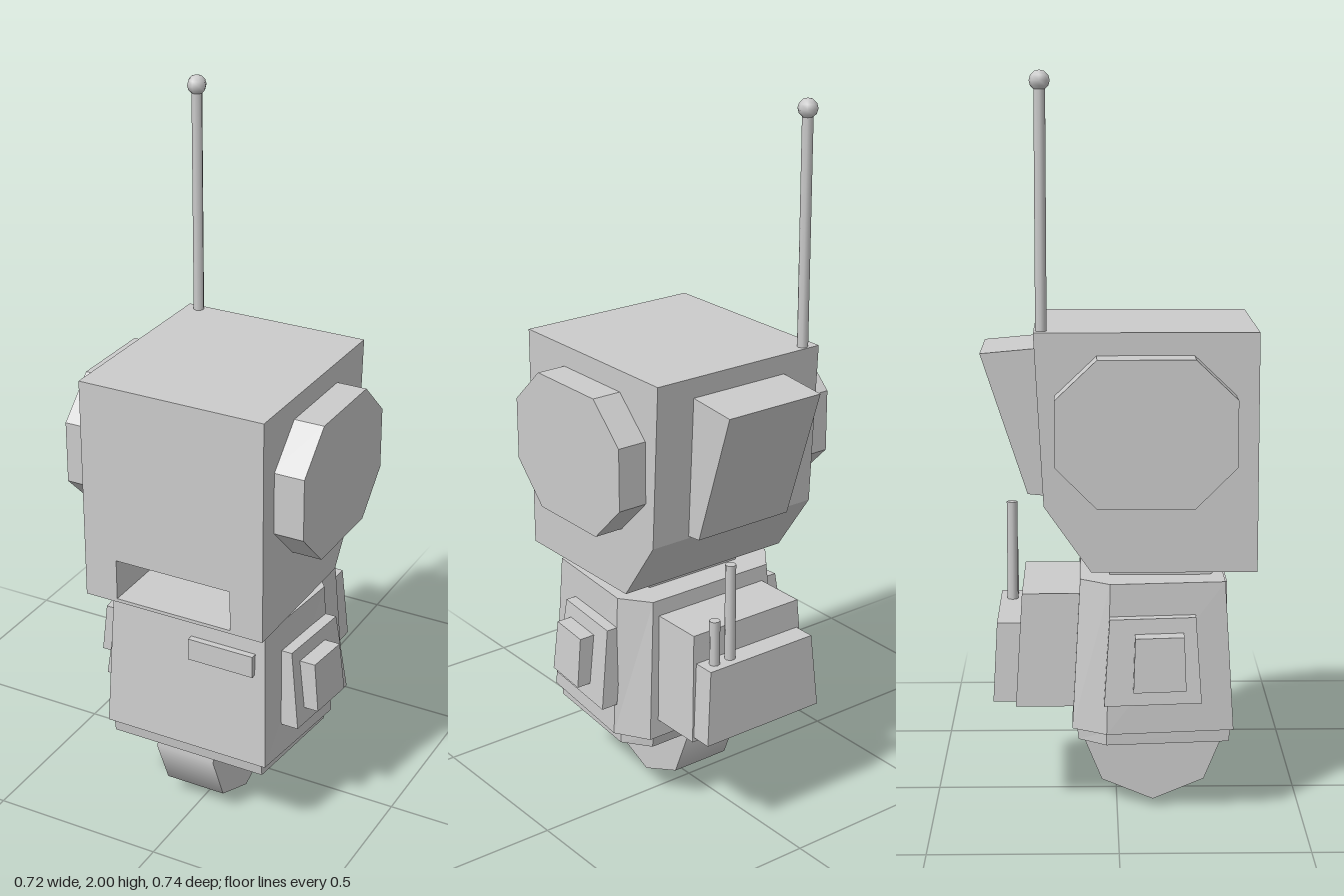
import * as THREE from 'three';

const material = new THREE.MeshStandardMaterial({ color: 0xcccccc });

function add(group, name, geometry) {
  const mesh = new THREE.Mesh(geometry, material);
  mesh.name = name;
  group.add(mesh);
  return mesh;
}

// Flat-faced solid between two convex rings; ring b runs counter-clockwise seen from outside
function solid(a, b) {
  const pos = [];
  const tri = (p, q, r) => pos.push(...p, ...q, ...r);
  const n = a.length;
  for (let i = 0; i < n; i++) {
    const j = (i + 1) % n;
    tri(a[i], a[j], b[j]);
    tri(a[i], b[j], b[i]);
    if (i > 0 && i < n - 1) {
      tri(b[0], b[i], b[i + 1]);
      tri(a[0], a[i + 1], a[i]);
    }
  }
  const geometry = new THREE.BufferGeometry();
  geometry.setAttribute('position', new THREE.Float32BufferAttribute(pos, 3));
  geometry.computeVertexNormals();
  return geometry;
}

// Side profile of [z, y] points, extruded from x0 to x1
function sideExtrude(profile, x0, x1) {
  const shape = new THREE.Shape(profile.map(([z, y]) => new THREE.Vector2(-z, y)));
  const geometry = new THREE.ExtrudeGeometry(shape, { depth: x1 - x0, bevelEnabled: false });
  return geometry.rotateY(Math.PI / 2).translate(x0, 0, 0);
}

// Horizontal ring with chamfered rear corners
function bodyRing(y, front, mid, back, zFront, zMid, zBack) {
  return [
    [-back, y, zBack], [-mid, y, zMid], [-front, y, zFront],
    [front, y, zFront], [mid, y, zMid], [back, y, zBack],
  ];
}

function rect(y, w, zBack, zFront) {
  return [[-w, y, zBack], [-w, y, zFront], [w, y, zFront], [w, y, zBack]];
}

// Leaning plate on the side of the body
function sidePlate(side, yTop, yBottom, z, halfTop, halfBottom, xTop, xBottom) {
  const ring = (inset) => {
    const corners = [
      [xBottom, yBottom, z + halfBottom], [xBottom, yBottom, z - halfBottom],
      [xTop, yTop, z - halfTop], [xTop, yTop, z + halfTop],
    ].map(([x, y, pz]) => [side * (x - inset - 0.1 * (pz - z)), y, pz]);
    return side > 0 ? corners : corners.reverse();
  };
  return solid(ring(0.05), ring(0));
}

function createHead() {
  const head = new THREE.Group();
  head.name = 'head';
  const outline = [[-0.22, 1.33], [-0.195, 0.87], [-0.07, 0.692], [0.37, 0.692]];
  const mouth = [[0.37, 0.702], [0.17, 0.702], [0.17, 0.82], [0.37, 0.82]];
  const top = [[0.37, 1.33]];

  // Two solid cheeks with the recessed mouth between them
  add(head, 'headCentre', sideExtrude([...outline, ...mouth, ...top], -0.173, 0.173));
  add(head, 'rightCheek', sideExtrude([...outline, ...top], -0.27, -0.173));
  add(head, 'leftCheek', sideExtrude([...outline, ...top], 0.173, 0.27));

  // Octagonal ear covers
  const ear = [
    [0.2, 1.27], [-0.055, 1.27], [-0.165, 1.165], [-0.165, 0.99],
    [-0.055, 0.88], [0.2, 0.88], [0.31, 0.99], [0.31, 1.165],
  ];
  add(head, 'leftEar', sideExtrude(ear, 0.26, 0.355));
  add(head, 'rightEar', sideExtrude(ear, -0.355, -0.26));

  // Wedge on the back of the head
  add(head, 'rearPanel', sideExtrude(
    [[-0.2, 1.275], [-0.365, 1.26], [-0.24, 0.88], [-0.19, 0.875]], -0.152, 0.152));

  // Antenna
  add(head, 'antennaRod', new THREE.CylinderGeometry(0.015, 0.015, 0.67, 8))
    .position.set(-0.23, 1.635, -0.2);
  add(head, 'antennaTip', new THREE.SphereGeometry(0.027, 8, 6))
    .position.set(-0.23, 1.973, -0.2);
  return head;
}

function createBody() {
  const body = new THREE.Group();
  body.name = 'body';
  add(body, 'neck', sideExtrude([[0.31, 0.695], [0.24, 0.65], [-0.02, 0.65], [-0.02, 0.695]], -0.153, 0.153));
  add(body, 'torso', solid(
    bodyRing(0.25, 0.25, 0.288, 0.23, 0.312, -0.03, -0.122),
    bodyRing(0.657, 0.235, 0.262, 0.2, 0.288, -0.02, -0.1)));
  add(body, 'basePlate', solid(
    bodyRing(0.213, 0.235, 0.265, 0.21, 0.3, -0.03, -0.105),
    bodyRing(0.25, 0.235, 0.265, 0.21, 0.305, -0.03, -0.11)));
  add(body, 'chestBadge', new THREE.BoxGeometry(0.197, 0.065, 0.04))
    .position.set(0.11, 0.562, 0.29);

  // Stepped plates on both sides
  for (const [label, side] of [['left', 1], ['right', -1]]) {
    add(body, label + 'SidePlate', sidePlate(side, 0.57, 0.342, 0.093, 0.115, 0.13, 0.288, 0.318));
    add(body, label + 'SideButton', sidePlate(side, 0.53, 0.387, 0.11, 0.065, 0.07, 0.337, 0.352));
  }
  return body;
}

function createBackpack() {
  const pack = new THREE.Group();
  pack.name = 'backpack';
  add(pack, 'packInner', solid(rect(0.302, 0.2, -0.275, -0.09), rect(0.612, 0.182, -0.257, -0.08)));
  add(pack, 'packOuter', solid(rect(0.315, 0.195, -0.336, -0.26), rect(0.53, 0.177, -0.325, -0.25)));

  // Long and short rods standing on the pack
  for (const [name, x, top] of [['longRod', 0.085, 0.81], ['shortRod', 0.138, 0.66]]) {
    add(pack, name, new THREE.CylinderGeometry(0.015, 0.015, top - 0.5, 8))
      .position.set(x, (top + 0.5) / 2, -0.291);
  }
  return pack;
}

export function createModel() {
  const model = new THREE.Group();
  model.name = 'robot';
  model.add(createHead(), createBody(), createBackpack());

  // Single wheel, eight sided with a smooth rim
  const wheel = new THREE.CylinderGeometry(0.2, 0.2, 0.18, 8).rotateZ(Math.PI / 2);
  add(model, 'wheel', wheel).position.set(-0.009, 0.2, 0.1);
  return model;
}
